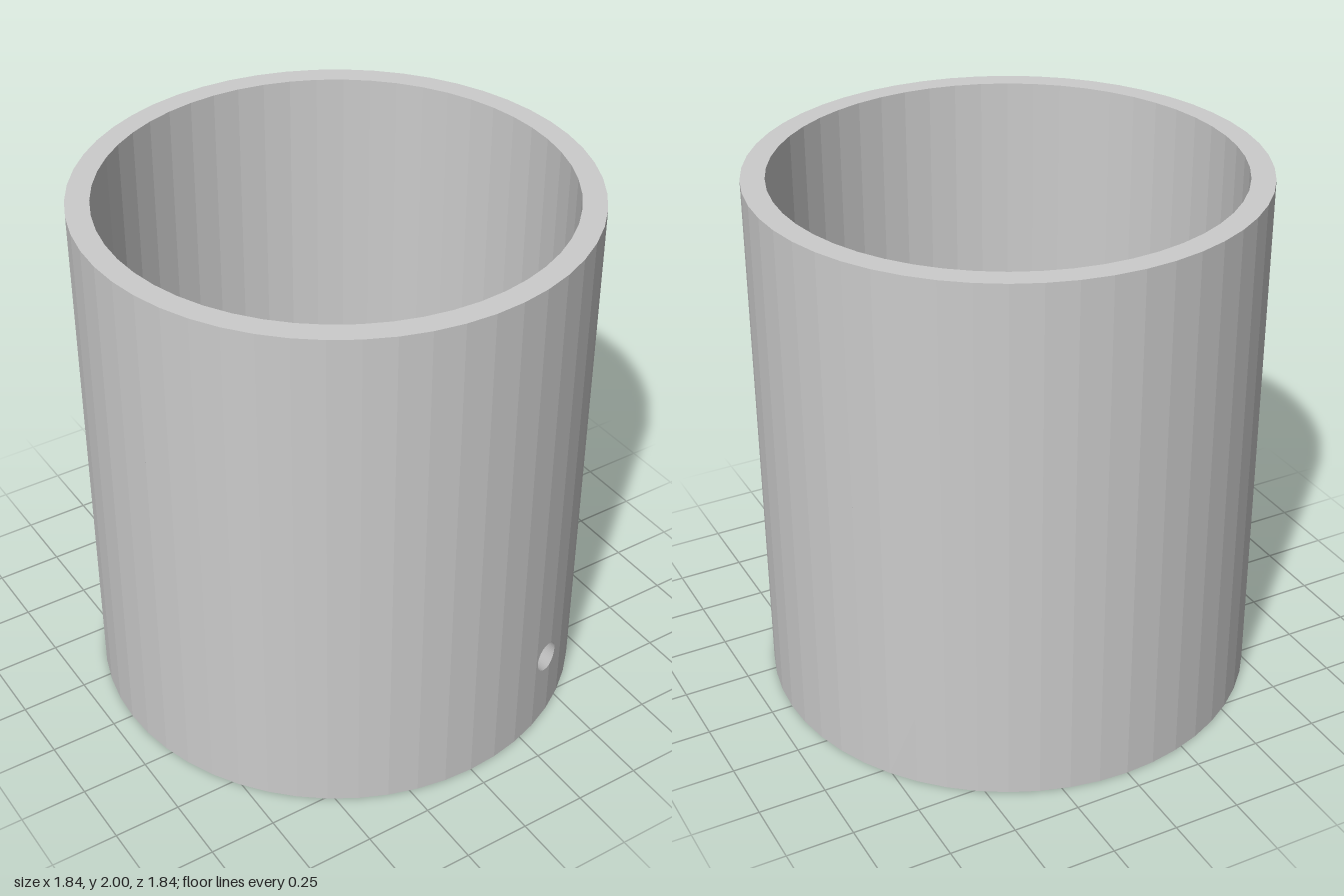
import * as THREE from 'three';

const SIDES = 52, STEP = (2 * Math.PI) / SIDES;
const OUTER = 0.92, INNER = 0.835, HEIGHT = 2;

// Slanted bore: a point on its axis, the axis direction and its radius
const C = new THREE.Vector3(0.4, 0.29, 0.83);
const A = new THREE.Vector3(-0.025, 0.045, 0.11).normalize();
const BORE = 0.0565, SAMPLES = 24;

// Point on the faceted wall at an angle from +z towards +x
function wallPoint(radius, t, y) {
  const local = t - Math.floor(t / STEP) * STEP - STEP / 2;
  const r = (radius * Math.cos(STEP / 2)) / Math.cos(local);
  return new THREE.Vector3(r * Math.sin(t), y, r * Math.cos(t));
}

// Heights where the bore meets the wall at one angle
function cut(radius, t) {
  const q = wallPoint(radius, t, 0).sub(C).setY(0);
  const k = q.x * A.x + q.z * A.z, a = 1 - A.y * A.y;
  const d = (k * A.y) ** 2 - a * (q.lengthSq() - k * k - BORE * BORE);
  const s = Math.sqrt(Math.max(d, 0));
  return { d, lo: C.y + (k * A.y - s) / a, hi: C.y + (k * A.y + s) / a };
}

// Angles across the opening, denser towards its two ends
function openingAngles(radius, middle) {
  const edge = (sign) => {
    let inside = 0, outside = 0.2;
    for (let i = 0; i < 40; i++) {
      const m = (inside + outside) / 2;
      if (cut(radius, middle + sign * m).d > 0) inside = m; else outside = m;
    }
    return middle + sign * inside;
  };
  const from = edge(-1), to = edge(1), list = [];
  for (let j = 0; j <= SAMPLES; j++) {
    list.push(from + ((to - from) * (1 - Math.cos((Math.PI * j) / SAMPLES))) / 2);
  }
  return list;
}

function quad(out, a, b, c, d, flip) {
  const order = flip ? [a, c, b, a, d, c] : [a, b, c, a, c, d];
  for (const p of order) out.push(p.x, p.y, p.z);
}

// Upright strips, each split below and above the opening
function wallPositions(radius, opening, flip) {
  const first = opening[0], last = opening[SAMPLES], out = [];
  const angles = [...opening];
  for (let i = 0; i <= SIDES; i++) angles.push(i * STEP);
  angles.sort((a, b) => a - b);
  const span = (t) => (t < first || t > last ? { lo: C.y, hi: C.y } : cut(radius, t));
  for (let i = 0; i < angles.length - 1; i++) {
    const t0 = angles[i], t1 = angles[i + 1];
    if (t1 - t0 < 1e-7) continue;
    const m = (t0 + t1) / 2, s0 = span(t0), s1 = span(t1);
    // sample the radius just inside the strip so both ends stay on its facet
    const p = (t, y) => wallPoint(radius, t + (m - t) * 1e-6, y);
    quad(out, p(t0, 0), p(t1, 0), p(t1, s1.lo), p(t0, s0.lo), flip);
    quad(out, p(t0, s0.hi), p(t1, s1.hi), p(t1, HEIGHT), p(t0, HEIGHT), flip);
  }
  return out;
}

// Lining of the bore, from the outer opening to the inner one
function borePositions(outer, inner) {
  const out = [];
  for (const side of ['lo', 'hi']) {
    const o = outer.map((t) => wallPoint(OUTER, t, cut(OUTER, t)[side]));
    const n = inner.map((t) => wallPoint(INNER, t, cut(INNER, t)[side]));
    for (let j = 0; j < SAMPLES; j++) {
      quad(out, o[j], o[j + 1], n[j + 1], n[j], side === 'hi');
    }
  }
  return out;
}

export function createModel() {
  const group = new THREE.Group();
  group.name = 'tube';
  const material = new THREE.MeshStandardMaterial({ color: 0xcccccc, flatShading: true });
  const add = (name, geometry) => {
    const mesh = new THREE.Mesh(geometry, material);
    mesh.name = name;
    group.add(mesh);
    return mesh;
  };
  const build = (positions) => {
    const g = new THREE.BufferGeometry();
    g.setAttribute('position', new THREE.Float32BufferAttribute(positions, 3));
    g.computeVertexNormals();
    return g;
  };

  const outer = openingAngles(OUTER, Math.atan2(0.4, 0.83));
  const inner = openingAngles(INNER, Math.atan2(0.425, 0.72));
  add('outerWall', build(wallPositions(OUTER, outer, false)));
  add('innerWall', build(wallPositions(INNER, inner, true)));
  add('slantedBore', build(borePositions(outer, inner)));

  // Flat rims
  const ring = new THREE.RingGeometry(INNER, OUTER, SIDES);
  const top = add('topRim', ring);
  top.rotation.x = -Math.PI / 2;
  top.position.y = HEIGHT;
  add('bottomRim', ring).rotation.x = Math.PI / 2;
  return group;
}
